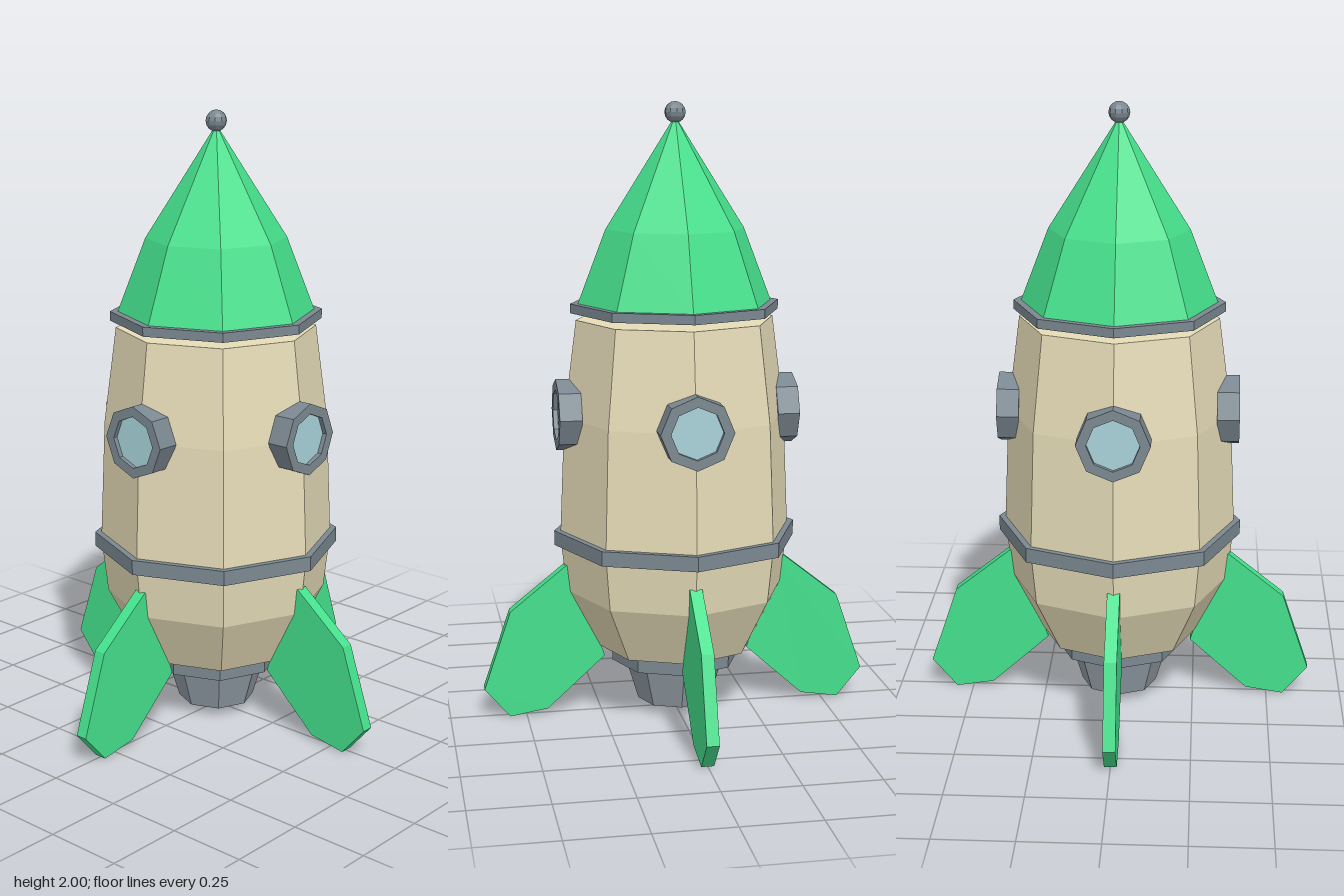
import * as THREE from 'three';

const SIDES = 8;
const material = (color) => new THREE.MeshStandardMaterial({ color, flatShading: true });

export function createModel() {
  const rocket = new THREE.Group();
  rocket.name = 'rocket';

  const cream = material(0xe6dcb8);
  const green = material(0x45e08c);
  const slate = material(0x7b8891);
  const steel = material(0x929da6);
  const glassBlue = material(0xa8d3da);

  // Eight-sided turned part from [radius, height] pairs, listed bottom to top
  const turned = (name, profile, mat, parent = rocket) => {
    const points = profile.map(([r, y]) => new THREE.Vector2(r, y));
    const mesh = new THREE.Mesh(new THREE.LatheGeometry(points, SIDES), mat);
    mesh.name = name;
    parent.add(mesh);
    return mesh;
  };
  const band = (name, r, y0, y1) => turned(name, [[0, y0], [r, y0], [r, y1], [0, y1]], slate);

  // Hull, nose and bands
  turned('hull', [[0, 0.23], [0.262, 0.23], [0.36, 0.42], [0.38, 0.6], [0.363, 1.0], [0.322, 1.312], [0, 1.312]], cream);
  turned('noseCone', [[0, 1.36], [0.317, 1.36], [0.225, 1.6], [0, 1.955]], green);
  band('noseCollar', 0.34, 1.335, 1.365);
  band('hullBand', 0.4, 0.575, 0.623);
  band('engineCollar', 0.212, 0.173, 0.232);

  const tip = new THREE.Mesh(new THREE.SphereGeometry(0.034, 10, 8), slate);
  tip.name = 'noseTip';
  tip.position.y = 1.966;
  rocket.add(tip);

  // Hollow engine nozzle
  turned('nozzle', [[0, 0.1], [0.085, 0.1], [0.08, 0.035], [0.125, 0.035], [0.167, 0.175]], steel);

  // Fin outline in the plane of its own axis
  const finShape = new THREE.Shape([
    [0.34, 0.51], [0.24, 0.195], [0.43, 0.023], [0.555, 0.003],
    [0.638, 0.1], [0.55, 0.36], [0.365, 0.508],
  ].map(([x, y]) => new THREE.Vector2(x, y)));
  const finGeometry = new THREE.ExtrudeGeometry(finShape, { depth: 0.04, bevelEnabled: false });
  finGeometry.translate(0, 0, -0.02);

  // One fin and one porthole on each of the four sides
  for (let i = 0; i < 4; i++) {
    const angle = (i * Math.PI) / 2;

    const fin = new THREE.Mesh(finGeometry, green);
    fin.name = 'fin';
    fin.rotation.y = angle;
    rocket.add(fin);

    const side = new THREE.Group();
    side.name = 'porthole';
    side.rotation.y = angle;
    const porthole = new THREE.Group();
    porthole.position.y = 1.007;
    porthole.rotation.x = Math.PI / 2;
    turned('portholeFrame', [[0, 0.318], [0.116, 0.318], [0.116, 0.39], [0.083, 0.39], [0.083, 0.368]], slate, porthole);
    turned('portholeGlass', [[0.084, 0.375], [0, 0.375]], glassBlue, porthole);
    side.add(porthole);
    rocket.add(side);
  }

  return rocket;
}
